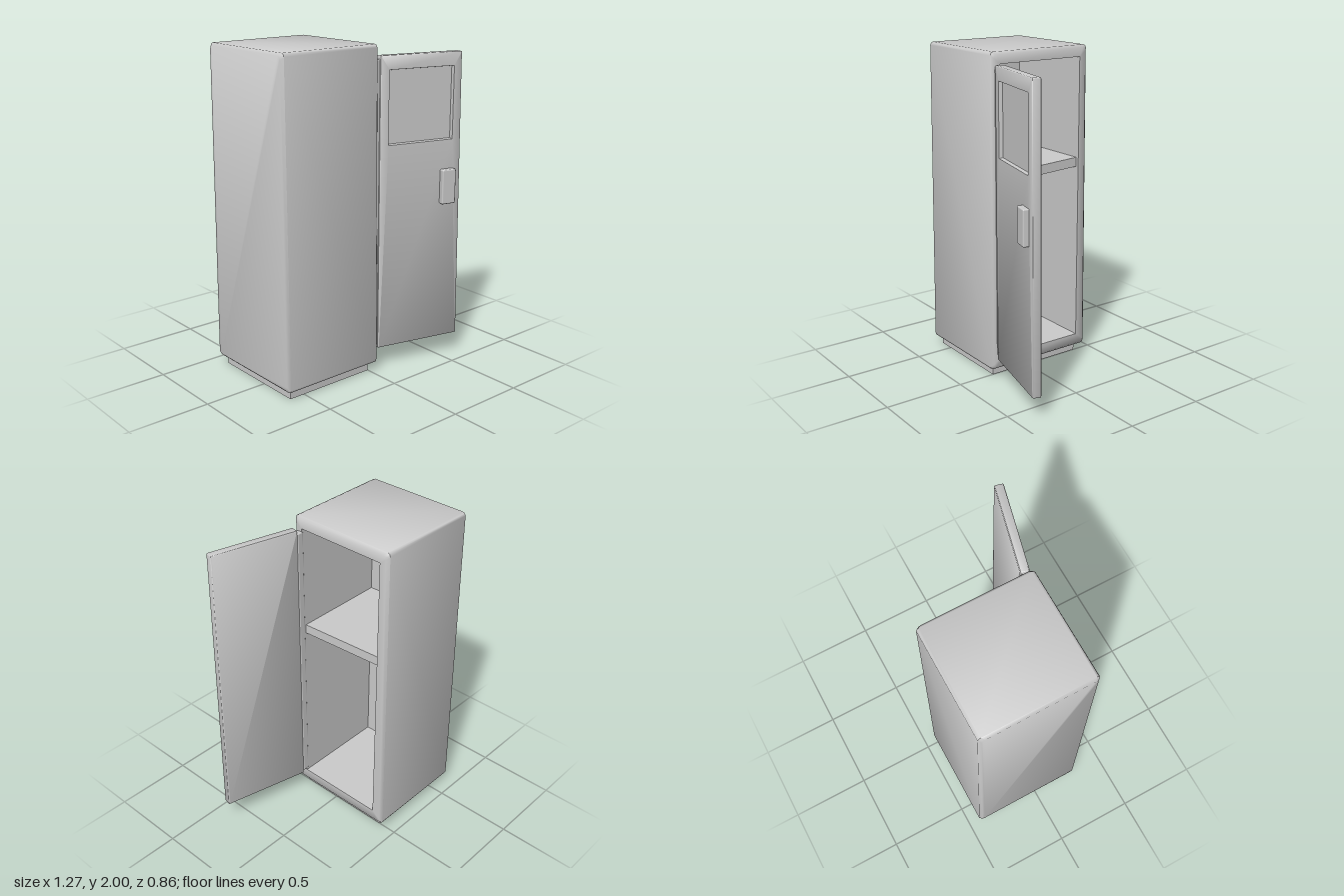
import * as THREE from 'three';
import { toCreasedNormals } from 'three/addons/utils/BufferGeometryUtils.js';
import { RoundedBoxGeometry } from 'three/addons/geometries/RoundedBoxGeometry.js';

const grey = new THREE.MeshStandardMaterial({ color: 0xcccccc });

// Counter-clockwise rectangle with two-step rounded corners, at depth z
function ring(x0, x1, y0, y1, r, z) {
  const corners = [[x1 - r, y0 + r, -90], [x1 - r, y1 - r, 0], [x0 + r, y1 - r, 90], [x0 + r, y0 + r, 180]];
  return corners.flatMap(([cx, cy, start]) => [0, 45, 90].map((step) => {
    const a = THREE.MathUtils.degToRad(start + step);
    return new THREE.Vector3(cx + r * Math.cos(a), cy + r * Math.sin(a), z);
  }));
}

// Skin a list of rings from back to front and cap both ends
function loft(rings) {
  const pts = [];
  const tri = (a, b, c) => {
    if (new THREE.Triangle(a, b, c).getArea() > 1e-9) pts.push(a, b, c);
  };
  const n = rings[0].length;
  for (let i = 0; i < rings.length - 1; i++) {
    const p = rings[i], q = rings[i + 1];
    for (let j = 0; j < n; j++) {
      const k = (j + 1) % n;
      tri(p[j], p[k], q[k]);
      tri(p[j], q[k], q[j]);
    }
  }
  const first = rings[0], last = rings[rings.length - 1];
  for (let j = 1; j < n - 1; j++) {
    tri(first[0], first[j + 1], first[j]);
    tri(last[0], last[j], last[j + 1]);
  }
  return new THREE.BufferGeometry().setFromPoints(pts);
}

// Apply a rule to every vertex
function reshape(geometry, rule) {
  const pos = geometry.attributes.position;
  const v = new THREE.Vector3();
  for (let i = 0; i < pos.count; i++) {
    rule(v.fromBufferAttribute(pos, i));
    pos.setXYZ(i, v.x, v.y, v.z);
  }
  return geometry;
}

function add(parent, name, geometry, x = 0, y = 0, z = 0) {
  const mesh = new THREE.Mesh(geometry, grey);
  mesh.name = name;
  mesh.position.set(x, y, z);
  parent.add(mesh);
  return mesh;
}

export function createModel() {
  const model = new THREE.Group();
  model.name = 'locker';

  // Cabinet: bevelled shell whose hollow opens towards +x
  const outer = (inset, depth) => ring(-0.30 + inset, 0.43 - inset, 0.055 + inset, 2 - inset, 0.02, depth);
  const opening = (depth) => ring(-0.225, 0.357, 0.135, 1.93, 0, depth);
  const shell = loft([
    outer(0.016, -0.64), outer(0, -0.624), outer(0, 0.034), outer(0.016, 0.05),
    opening(0.05), opening(-0.57),
  ]).rotateY(Math.PI / 2);
  // Slight narrowing of the outside towards the top
  reshape(shell, (v) => {
    const f = (v.y - 0.055) / 1.945;
    if (v.z > 0.24) v.z -= 0.02 * f;
    if (v.z < -0.38) v.z += 0.015 * f;
  });
  add(model, 'cabinet', toCreasedNormals(shell, 0.9));

  // Plinth under the cabinet
  add(model, 'plinth', new THREE.BoxGeometry(0.6, 0.07, 0.64), -0.3, 0.035, -0.06);

  // Shelf, a little crooked
  const shelf = add(model, 'shelf', new THREE.BoxGeometry(0.61, 0.058, 0.6), -0.275, 1.265, -0.066);
  shelf.rotation.x = 0.051;

  // Hinge strip between cabinet and door
  add(model, 'hingeStrip', new RoundedBoxGeometry(0.045, 1.76, 0.04, 2, 0.008), 0.062, 1.03, 0.24);

  // Open door, built flat and swung about its hinge edge
  const door = new THREE.Group();
  door.name = 'door';
  door.position.set(0.085, 0, 0.22);
  door.rotation.y = -THREE.MathUtils.degToRad(14);
  model.add(door);

  const panelRing = (inset, z) => ring(inset, 0.545 - inset, 0.132 + inset, 1.93 - inset, 0.005, z);
  const windowRing = (inset, z) => ring(0.055 + inset, 0.493 - inset, 1.405 + inset, 1.848 - inset, 0, z);
  const panel = loft([
    panelRing(0.005, 0), panelRing(0, 0.005), panelRing(0, 0.05), panelRing(0.005, 0.055),
    windowRing(0, 0.055), windowRing(0.004, 0.032),
  ]);
  // The free edge flares at the foot
  reshape(panel, (v) => {
    if (v.x > 0.5) v.x += 0.022 * (1 - v.y / 1.93);
  });
  add(door, 'doorPanel', toCreasedNormals(panel, 0.9));

  // Handle on the outside of the door
  add(door, 'handle', new RoundedBoxGeometry(0.094, 0.215, 0.045, 2, 0.008), 0.461, 1.117, 0.067);

  return model;
}
